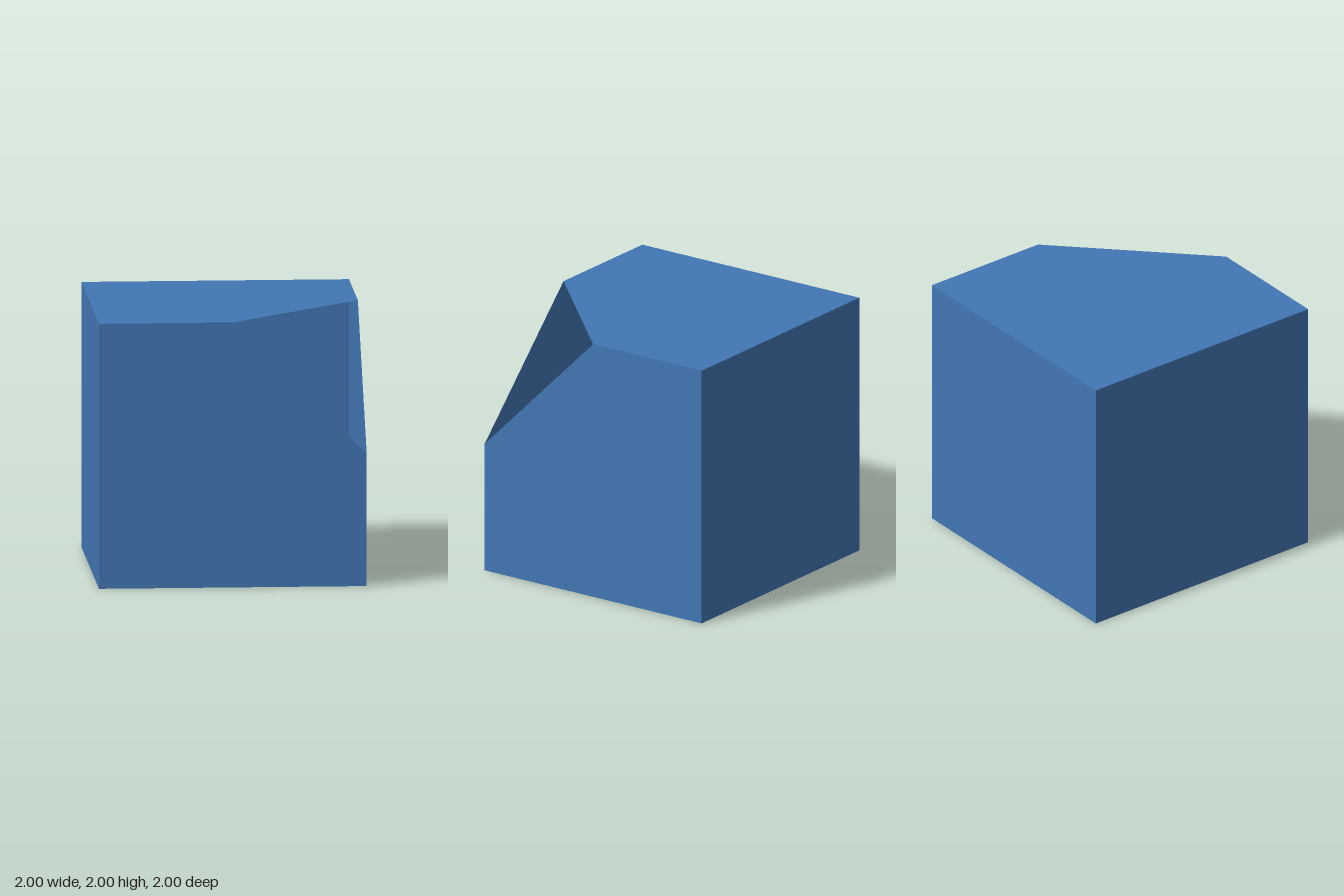
import * as THREE from 'three';

const H = Math.PI / 2;

export function createModel() {
  const model = new THREE.Group();
  model.name = 'hollowCutCube';
  const blue = new THREE.MeshStandardMaterial({ color: 0x4376b4, side: THREE.DoubleSide });
  blue.name = 'blue';

  // Square wall, and the same wall with its upper right corner cut from edge middle to edge middle
  const square = new THREE.PlaneGeometry(2, 2);
  const cutSquare = new THREE.ShapeGeometry(new THREE.Shape(
    [[-1, -1], [1, -1], [1, 0], [0, 1], [-1, 1]].map(([x, y]) => new THREE.Vector2(x, y))));

  // Turn the wall in its own plane, push it out by one, then swing it to its side of the cube
  const addWall = (name, geometry, spin, tiltX, turnY) => {
    const g = geometry.clone().rotateZ(spin).translate(0, 0, 1).rotateX(tiltX).rotateY(turnY);
    const wall = new THREE.Mesh(g.translate(0, 1, 0), blue);
    wall.name = name;
    model.add(wall);
  };

  // Three walls meeting at the open corner
  addWall('frontWall', cutSquare, 0, 0, 0);
  addWall('leftWall', cutSquare, H, 0, H);
  addWall('topWall', cutSquare, -H, -H, 0);

  // Three whole walls
  addWall('backWall', square, 0, 0, Math.PI);
  addWall('rightWall', square, 0, 0, -H);
  addWall('floor', square, 0, H, 0);

  return model;
}
